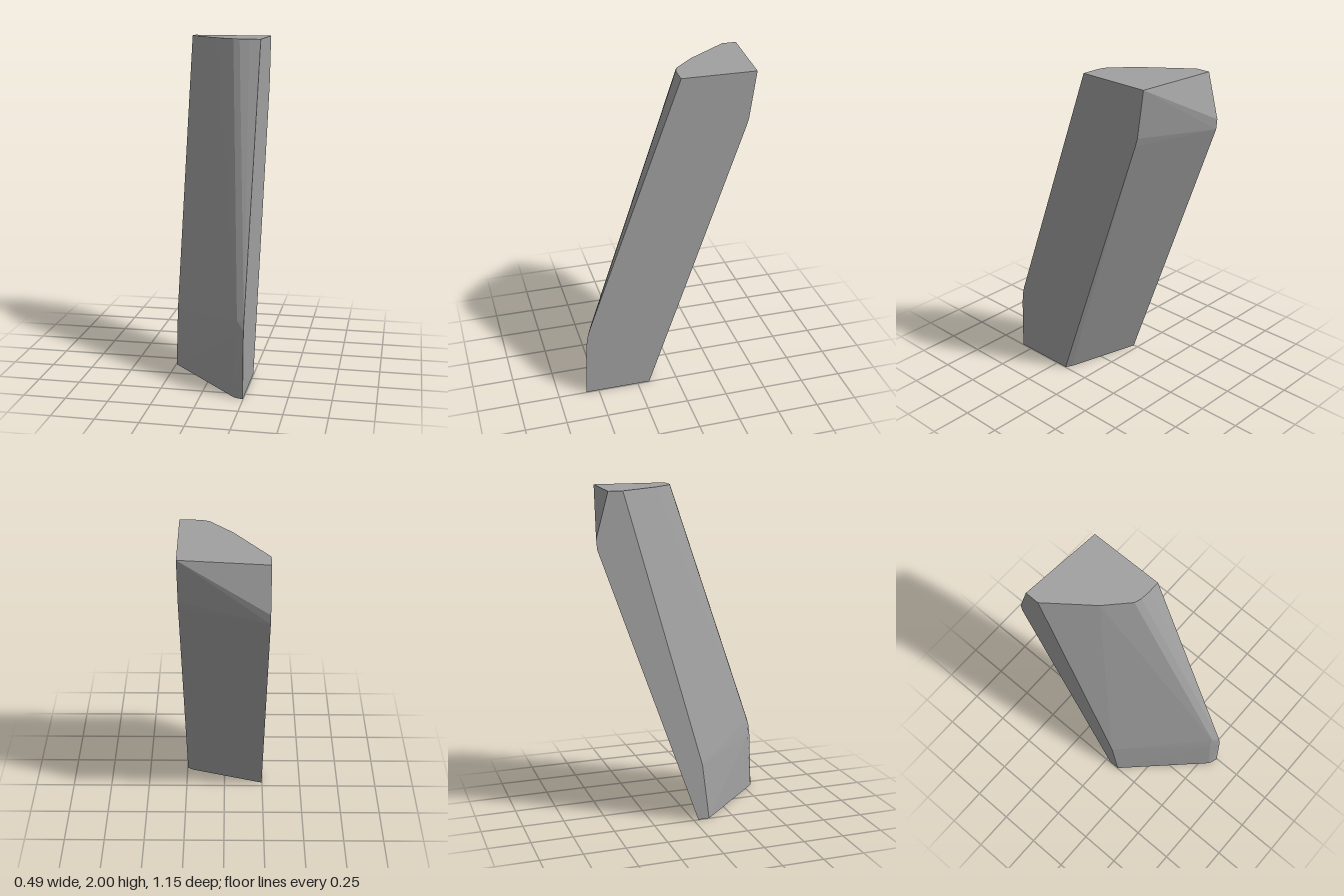
import * as THREE from 'three';
import { ConvexGeometry } from 'three/addons/geometries/ConvexGeometry.js';

// Corner points per level, as [x, y, z]
const LEFT = 0.247, RIGHT = -0.247;

const topOutline = [
  [RIGHT, 2, -0.505], [LEFT, 2, -0.46], [LEFT, 2, -0.02], [0.18, 2, -0.021],
  [0.12, 2, -0.026], [0.08, 2, -0.04], [-0.05, 2, -0.165], [RIGHT, 2, -0.42],
];

const bottomOutline = [
  [RIGHT, 0, 0.03], [RIGHT, 0, 0.1], [0.19, 0, 0.555], [0.21, 0, 0.565],
  [LEFT, 0, 0.577], [LEFT, 0, 0.175], [0.21, 0, 0.155],
];

// Bend low on the front, where the slanted face turns upright
const frontBend = [
  [RIGHT, 0.35, 0.055], [0.19, 0.36, 0.53], [0.205, 0.45, 0.53],
  [LEFT, 0.33, 0.567], [LEFT, 0.4, 0.559], [LEFT, 0.45, 0.545],
];

// Bend high on the back, below the sloped cap
const backBend = [
  [RIGHT, 1.74, -0.577], [RIGHT, 1.68, -0.572], [LEFT, 1.72, -0.421], [LEFT, 1.67, -0.406],
];

export function createModel() {
  const stoneGrey = new THREE.MeshStandardMaterial({ color: 0xa0a0a0 });
  stoneGrey.name = 'stone grey';

  // Faceted slanted block spanning all the outlines
  const corners = [...topOutline, ...bottomOutline, ...frontBend, ...backBend]
    .map(([x, y, z]) => new THREE.Vector3(x, y, z));
  const block = new THREE.Mesh(new ConvexGeometry(corners), stoneGrey);
  block.name = 'slantedBlock';

  const model = new THREE.Group();
  model.name = 'slantedPillar';
  model.add(block);
  return model;
}
